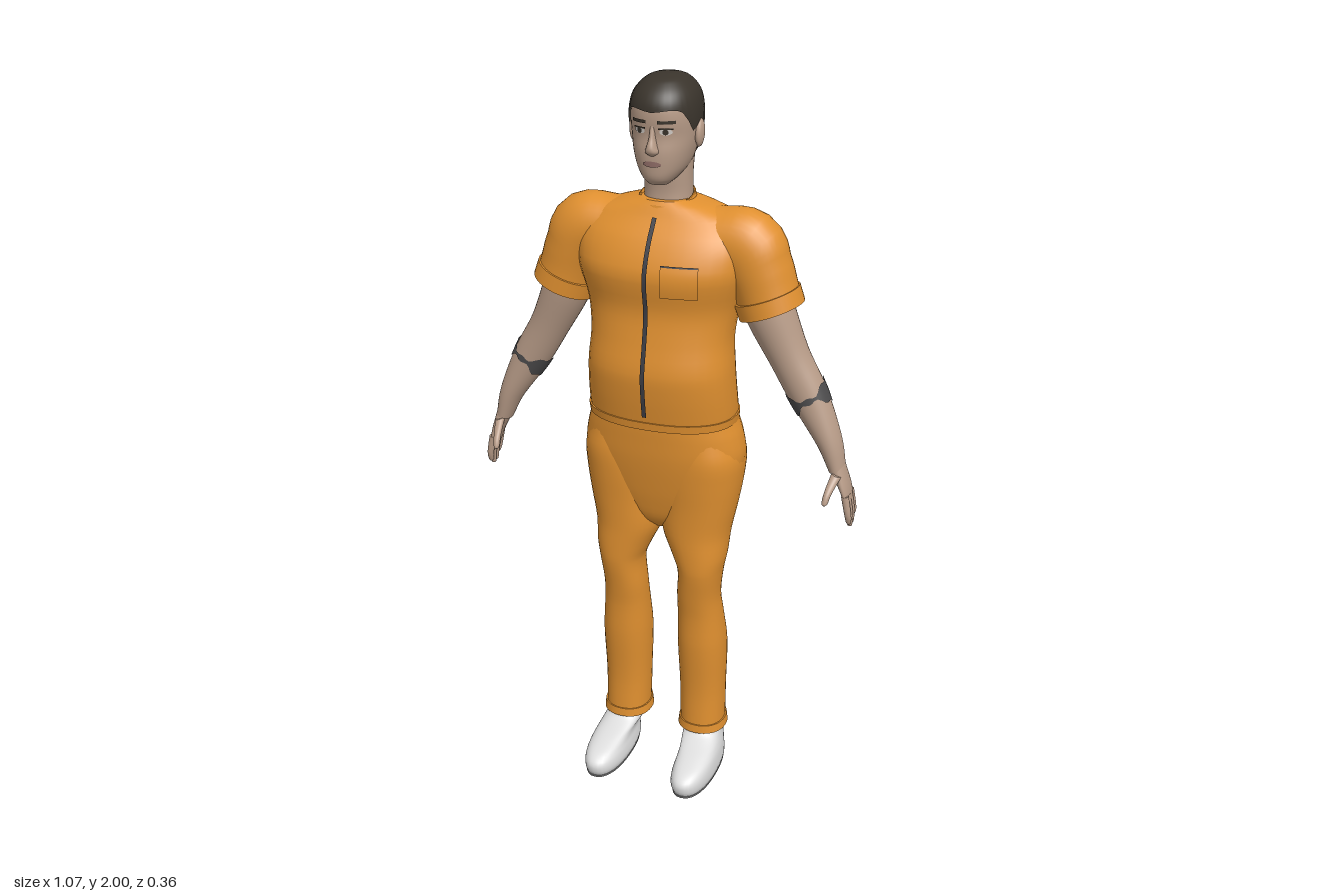
import * as THREE from 'three';

const flat = (name, color) => {
  const m = new THREE.MeshStandardMaterial({ color });
  m.name = name;
  return m;
};

// Smooth interpolation of key rows; column 0 is the parameter
function sample(keys, t) {
  const n = keys.length;
  let i = 0;
  while (i < n - 2 && t > keys[i + 1][0]) i++;
  const a = keys[i], b = keys[i + 1], h = b[0] - a[0];
  const s = Math.min(1, Math.max(0, (t - a[0]) / h)), s2 = s * s, s3 = s2 * s;
  const slope = (k, c) => {
    const p = keys[Math.max(0, k - 1)], q = keys[Math.min(n - 1, k + 1)];
    return (q[c] - p[c]) / (q[0] - p[0]);
  };
  return a.map((v, c) => c === 0 ? t :
    v * (2 * s3 - 3 * s2 + 1) + slope(i, c) * h * (s3 - 2 * s2 + s) +
    b[c] * (3 * s2 - 2 * s3) + slope(i + 1, c) * h * (s3 - s2));
}

function params(keys, steps) {
  const out = [keys[0][0]];
  for (let i = 0; i < keys.length - 1; i++)
    for (let k = 1; k <= steps; k++) out.push(keys[i][0] + (keys[i + 1][0] - keys[i][0]) * k / steps);
  return out;
}

// Surface through rows of points, listed bottom to top and left to right
function skin(rows, closed) {
  const w = rows[0].length, index = [];
  for (let j = 0; j < rows.length - 1; j++)
    for (let i = 0; i < (closed ? w : w - 1); i++) {
      const k = (i + 1) % w, a = j * w + i, b = j * w + k;
      index.push(a, b, b + w, a, b + w, a + w);
    }
  const g = new THREE.BufferGeometry().setFromPoints(rows.flat());
  g.setIndex(index);
  g.computeVertexNormals();
  return g;
}

// Close both ends of a tube of rings with crisp flat caps
function capped(rings) {
  const dot = r => {
    const c = new THREE.Vector3();
    r.forEach(p => c.add(p));
    c.divideScalar(r.length);
    return r.map(() => c.clone());
  };
  const copy = r => r.map(p => p.clone()), last = rings[rings.length - 1];
  return skin([dot(rings[0]), copy(rings[0]), ...rings, copy(last), dot(last)], true);
}

const pow = (v, e) => Math.sign(v) * Math.abs(v) ** e;
const SIDES = 36;
const angles = Array.from({ length: SIDES }, (_, i) => i / SIDES * Math.PI * 2);

// Horizontal section point; section = [y, xMin, xMax, zFront, zBack]
function onSection(s, a, n, grow = 0) {
  return new THREE.Vector3(
    (s[1] + s[2]) / 2 + ((s[2] - s[1]) / 2 + grow) * pow(Math.sin(a), 2 / n), s[0],
    (s[3] + s[4]) / 2 + ((s[3] - s[4]) / 2 + grow) * pow(Math.cos(a), 2 / n));
}
const loft = (keys, n = 2.2, steps = 4) =>
  capped(params(keys, steps).map(y => angles.map(a => onSection(sample(keys, y), a, n))));

// Tilted limb; keys = [x, y, z, radius across, radius in z], from the far end up
function limbRing(keys, t, a, grow = 0) {
  const s = sample(keys, t), e = 0.02, top = keys.length - 1;
  const p = sample(keys, Math.max(0, t - e)), q = sample(keys, Math.min(top, t + e));
  const dx = q[1] - p[1], dy = q[2] - p[2], l = Math.hypot(dx, dy);
  const r = (s[4] + grow) * Math.sin(a);
  return new THREE.Vector3(s[1] + dy / l * r, s[2] - dx / l * r, s[3] + (s[5] + grow) * Math.cos(a));
}
const indexed = keys => keys.map((k, i) => [i, ...k]);
function limb(rows, steps = 4) {
  const keys = indexed(rows);
  return capped(params(keys, steps).map(t => angles.map(a => limbRing(keys, t, a))));
}

// Thin plate lying on the front of a loft
function patch(keys, n, x0, x1, y0, y1, off, oval = false) {
  const rows = [], ny = 24, nx = 8;
  for (let j = 0; j <= ny; j++) {
    const v = j / ny, y = y0 + (y1 - y0) * v, s = sample(keys, y), row = [];
    const k = oval ? Math.sqrt(Math.max(0, 1 - (2 * v - 1) ** 2)) : 1;
    for (let i = 0; i <= nx; i++) {
      const x = (x0 + x1) / 2 + (i / nx - 0.5) * (x1 - x0) * k;
      const f = Math.min(1, Math.abs(x / s[2]));
      row.push(new THREE.Vector3(x, y, (s[3] + s[4]) / 2 + (s[3] - s[4]) / 2 * (1 - f ** n) ** (1 / n) + off));
    }
    rows.push(row);
  }
  return skin(rows, false);
}

function mirrored(g) {
  const m = g.clone().scale(-1, 1, 1), ix = m.index.array;
  for (let i = 0; i < ix.length; i += 3) [ix[i], ix[i + 1]] = [ix[i + 1], ix[i]];
  m.computeVertexNormals();
  return m;
}

const even = rows => rows.map(([y, w, f, b]) => [y, -w, w, f, b]);

export function createModel() {
  const model = new THREE.Group();
  const cloth = flat('orange cloth', 0xe09030), flesh = flat('skin', 0xb89c88);
  const hairMat = flat('dark brown hair', 0x3a342c), shoeMat = flat('white shoe', 0xdedede);
  const soleMat = flat('grey sole', 0x8a8a8a), dark = flat('dark zip', 0x3c3d44);
  const ink = flat('tattoo ink', 0x4b4a4b), white = flat('eye white', 0xd8d2cc), lipMat = flat('lips', 0x94706a);
  ink.side = hairMat.side = cloth.side = THREE.DoubleSide;
  const add = (name, g, mat) => {
    const m = new THREE.Mesh(g, mat);
    m.name = name;
    model.add(m);
  };
  const pair = (name, g, mat) => {
    add('left' + name, g, mat);
    add('right' + name, mirrored(g), mat);
  };

  // Shirt
  const torso = even([
    [1.105, .2, .1, -.172], [1.13, .202, .105, -.171], [1.2, .2, .116, -.157], [1.26, .197, .12, -.152],
    [1.34, .192, .105, -.152], [1.42, .203, .094, -.162], [1.5, .225, .105, -.17], [1.54, .232, .1, -.17],
    [1.6, .23, .072, -.16], [1.65, .195, .035, -.147], [1.675, .13, .02, -.138], [1.69, .07, .01, -.125]]);
  add('shirt', loft(torso, 2.3), cloth);
  add('shirtHem', loft(even([[1.1, .204, .104, -.177], [1.122, .206, .107, -.176]]), 2.3), cloth);
  pair('Sleeve', limb([
    [.285, 1.43, -.048, .082, .08], [.268, 1.48, -.05, .084, .081], [.248, 1.53, -.05, .089, .083],
    [.215, 1.58, -.05, .099, .084], [.14, 1.595, -.055, .08, .085], [.05, 1.6, -.055, .075, .08]]), cloth);
  pair('SleeveCuff', limb([[.288, 1.422, -.048, .088, .086], [.273, 1.462, -.049, .089, .086]]), cloth);

  // Collar: tilted band, lower at the front
  const collar = [[.078, 1.66, 0], [.072, 1.695, 0], [.066, 1.697, 0], [.062, 1.665, 0]].map(([r, y]) =>
    angles.map(a => new THREE.Vector3(r * Math.sin(a), y - .016 * Math.cos(a), -.054 + r * 1.02 * Math.cos(a))));
  add('collar', skin(collar, true), cloth);

  // Zip and chest pocket
  add('zip', patch(torso, 2.3, -.006, .006, 1.14, 1.655, .005), dark);
  add('pocket', patch(torso, 2.3, .04, .135, 1.47, 1.553, .004), cloth);
  add('pocketEdge', patch(torso, 2.3, .04, .135, 1.55, 1.554, .006), dark);

  // Trousers
  add('hips', loft(even([
    [.765, .02, 0, -.06], [.8, .09, .035, -.105], [.86, .165, .055, -.135], [.93, .21, .07, -.16],
    [1, .225, .082, -.175], [1.06, .216, .088, -.177], [1.1, .203, .091, -.175], [1.118, .199, .09, -.17]])), cloth);
  pair('Leg', loft([
    [.125, .053, .18, .017, -.12], [.25, .05, .18, .015, -.12], [.4, .045, .183, .028, -.12],
    [.5, .048, .175, .032, -.1], [.57, .05, .17, .042, -.087], [.65, .054, .178, .055, -.09],
    [.7, .035, .187, .057, -.1], [.77, .004, .193, .057, -.122], [.85, 0, .208, .06, -.138],
    [.93, 0, .22, .066, -.157], [1, .02, .222, .068, -.165], [1.06, .04, .2, .06, -.15]]), cloth);
  pair('TrouserCuff', loft([[.118, .046, .187, .022, -.127], [.143, .049, .184, .02, -.125]]), cloth);

  // Shoes
  pair('Shoe', loft([
    [.004, .08, .188, .174, -.11], [.022, .075, .192, .182, -.115], [.045, .077, .191, .18, -.113],
    [.064, .08, .188, .155, -.112], [.08, .078, .183, .105, -.112], [.095, .07, .178, .05, -.113],
    [.11, .066, .176, .015, -.115], [.14, .066, .174, .005, -.115]], 2.3), shoeMat);
  pair('Sole', loft([[0, .079, .189, .176, -.112], [.007, .078, .19, .178, -.113]], 2.3, 1), soleMat);

  // Arms and hands
  const arm = [
    [.483, 1.01, -.04, .022, .032], [.455, 1.09, -.043, .034, .041], [.395, 1.2, -.05, .051, .047],
    [.338, 1.3, -.052, .054, .053], [.285, 1.41, -.05, .065, .064], [.255, 1.49, -.05, .066, .066]];
  pair('Arm', limb(arm), flesh);
  const armKeys = indexed(arm);
  const tattoo = [-1, 0, 1].map(k => angles.map(a =>
    limbRing(armKeys, 1.97 + k * (.15 + .11 * Math.cos(2 * a + 2.6) + .04 * Math.sin(7 * a)), a, .003)));
  pair('ForearmTattoo', skin(tattoo, true), ink);
  pair('Palm', limb([
    [.517, .925, -.043, .009, .034], [.505, .965, -.043, .014, .037], [.48, 1.025, -.04, .022, .03]]), flesh);
  [-.069, -.052, -.034, -.016].forEach((z, i) => {
    const drop = [.022, .004, 0, .012][i], mid = -.043 + (z + .043) * .8;
    pair('Finger' + (i + 1), limb([
      [.525, .852 + drop, mid, .003, .003], [.525, .858 + drop, mid, .007, .007],
      [.523, .895, z, .009, .009], [.513, .945, z, .01, .01]]), flesh);
  });
  pair('Thumb', limb([
    [.474, .938, .041, .003, .004], [.474, .945, .039, .008, .009],
    [.478, .97, .024, .01, .012], [.488, 1.005, -.018, .014, .017]]), flesh);

  // Neck and head
  add('neck', loft(even([[1.64, .064, 0, -.122], [1.7, .062, -.008, -.12], [1.75, .062, -.004, -.12], [1.8, .064, 0, -.13]])), flesh);
  const head = even([
    [1.737, .026, .03, -.02], [1.752, .043, .046, -.07], [1.78, .063, .052, -.115], [1.82, .076, .054, -.138],
    [1.86, .083, .05, -.148], [1.9, .085, .055, -.152], [1.935, .081, .053, -.149], [1.96, .071, .04, -.138],
    [1.98, .053, .018, -.118], [1.99, .037, -.002, -.098], [1.996, .012, -.035, -.065]]);
  add('head', loft(head), flesh);
  const ear = new THREE.SphereGeometry(1, 16, 12).scale(.011, .035, .022).rotateX(-.15).translate(.087, 1.858, -.05);
  pair('Ear', ear, flesh);
  add('nose', loft(even([
    [1.815, .008, .056, .03], [1.824, .018, .069, .02], [1.838, .014, .071, .02], [1.86, .009, .062, .02], [1.888, .008, .054, .02]])), flesh);

  // Hair cap ending at a shaped hairline
  const line = [[0, 1.922], [.2, 1.928], [.3, 1.915], [.39, 1.87], [.46, 1.885], [.53, 1.895], [.62, 1.83], [.75, 1.795], [1, 1.782]];
  const hair = [];
  for (let j = 0; j <= 20; j++)
    hair.push(angles.map(a => {
      const u = (a > Math.PI ? 2 * Math.PI - a : a) / Math.PI;
      const v = 1 - (1 - j / 20) ** 1.6, low = sample(line, u)[1];
      const p = onSection(sample(head, low + (1.996 - low) * v), a, 2.2, .005);
      p.y += .004 * v;
      return p;
    }));
  hair.push(angles.map(() => new THREE.Vector3(0, 2, -.05)));
  add('hair', skin(hair, true), hairMat);

  // Face details
  pair('EyeWhite', patch(head, 2.2, .019, .049, 1.867, 1.883, .002, true), white);
  pair('Iris', patch(head, 2.2, .027, .041, 1.868, 1.882, .004, true), hairMat);
  pair('Eyelid', patch(head, 2.2, .017, .051, 1.881, 1.885, .004), hairMat);
  pair('Eyebrow', patch(head, 2.2, .015, .056, 1.895, 1.903, .003), hairMat);
  add('mouth', patch(head, 2.2, -.024, .024, 1.787, 1.802, .003, true), lipMat);
  return model;
}
